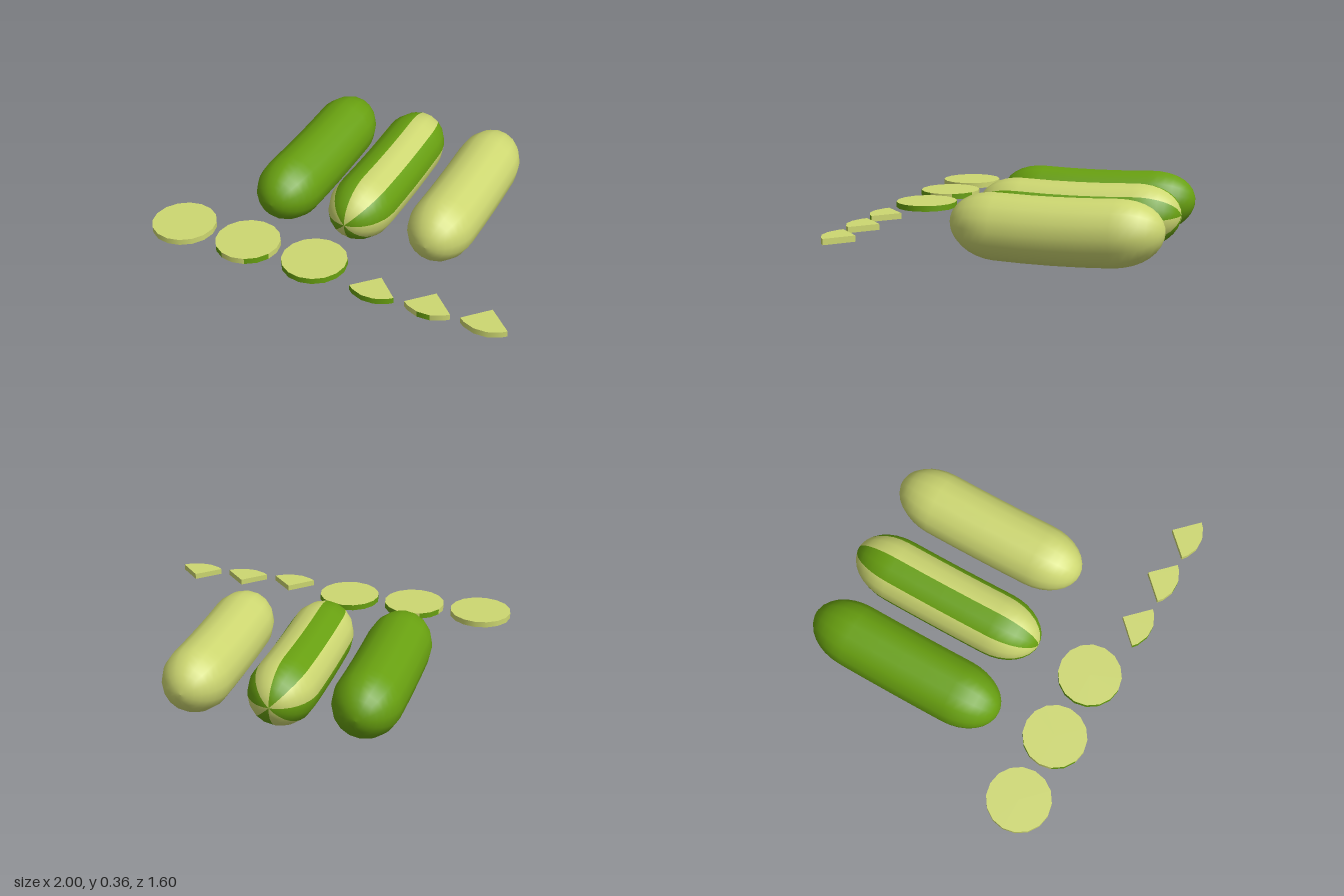
import * as THREE from 'three';

const RAD = Math.PI / 180;

export function createModel() {
  const model = new THREE.Group();
  model.name = 'cucumberSet';

  const darkSkin = new THREE.MeshStandardMaterial({ color: 0x68a010 });
  darkSkin.name = 'green skin';
  const paleFlesh = new THREE.MeshStandardMaterial({ color: 0xcdd771 });
  paleFlesh.name = 'pale flesh';

  // Capsule profile with elongated rounded ends
  const R = 0.176, HALF = 0.557, CAP = 0.25, STEPS = 8;
  const end = [];
  for (let i = 0; i <= STEPS; i++) {
    const a = (i / STEPS) * Math.PI / 2;
    end.push(new THREE.Vector2(R * Math.sin(a), -(HALF - CAP) - CAP * Math.cos(a)));
  }
  const middle = [-0.15, 0, 0.15].map(y => new THREE.Vector2(R, y));
  const profile = [...end, ...middle, ...end.map(p => new THREE.Vector2(p.x, -p.y)).reverse()];

  // One lengthwise strip of skin, laid along z with its ends bent slightly upwards
  function skinStrip(start, length, segments) {
    const g = new THREE.LatheGeometry(profile, segments, start * RAD, length * RAD);
    g.rotateX(Math.PI / 2);
    const p = g.attributes.position;
    for (let i = 0; i < p.count; i++) {
      const u = p.getZ(i) / HALF;
      p.setY(i, p.getY(i) + 0.179 + 0.025 * u * u);
    }
    return g;
  }

  function addCucumber(name, x, skins) {
    const group = new THREE.Group();
    group.name = name;
    group.position.set(x, 0, -0.243);
    const span = 360 / skins.length;
    skins.forEach((skin, i) => {
      const mesh = new THREE.Mesh(skinStrip(i * span, span, span / 22.5), skin);
      mesh.name = 'skinStrip';
      group.add(mesh);
    });
    model.add(group);
  }

  addCucumber('greenCucumber', -0.495, [darkSkin]);
  addCucumber('stripedCucumber', -0.063,
    Array.from({ length: 8 }, (_, i) => (i % 2 ? paleFlesh : darkSkin)));
  addCucumber('paleCucumber', 0.393, [paleFlesh]);

  // Slices are assembled from sectors: [start angle, angle, sides, rim material]
  const SR = 0.168, SH = 0.031;
  function addSlice(name, x, sectors) {
    const group = new THREE.Group();
    group.name = name;
    group.position.set(x, 0.19, 0.628);
    for (const [start, length, sides, rim] of sectors) {
      const g = new THREE.CylinderGeometry(SR, SR, SH, sides, 1, false, start * RAD, length * RAD);
      const mesh = new THREE.Mesh(g, [rim, paleFlesh, paleFlesh]);
      mesh.name = 'sliceSector';
      group.add(mesh);
    }
    model.add(group);
    return group;
  }

  // Quarter slice with two straight cut faces
  function addWedge(name, x, sideRim, midRim) {
    const group = addSlice(name, x, [
      [-45, 11.25, 1, sideRim], [-33.75, 22.5, 1, sideRim], [-11.25, 22.5, 1, midRim],
      [11.25, 22.5, 1, sideRim], [33.75, 11.25, 1, sideRim],
    ]);
    for (const side of [-1, 1]) {
      const a = side * 45 * RAD;
      const face = new THREE.Mesh(new THREE.PlaneGeometry(SR, SH), paleFlesh);
      face.name = 'cutFace';
      face.position.set(Math.sin(a) * SR / 2, 0, Math.cos(a) * SR / 2);
      face.rotation.y = a + side * Math.PI / 2;
      group.add(face);
    }
  }

  // Round slices
  addSlice('paleSlice', -0.833, [[0, 360, 16, paleFlesh]]);
  addSlice('stripedSlice', -0.454,
    Array.from({ length: 8 }, (_, i) => [-22.5 + i * 45, 45, 2, i % 2 ? darkSkin : paleFlesh]));
  addSlice('greenSlice', -0.073, [[0, 360, 16, darkSkin]]);

  // Quarter slices
  addWedge('greenWedge', 0.298, darkSkin, darkSkin);
  addWedge('stripedWedge', 0.591, paleFlesh, darkSkin);
  addWedge('paleWedge', 0.88, paleFlesh, paleFlesh);

  return model;
}
